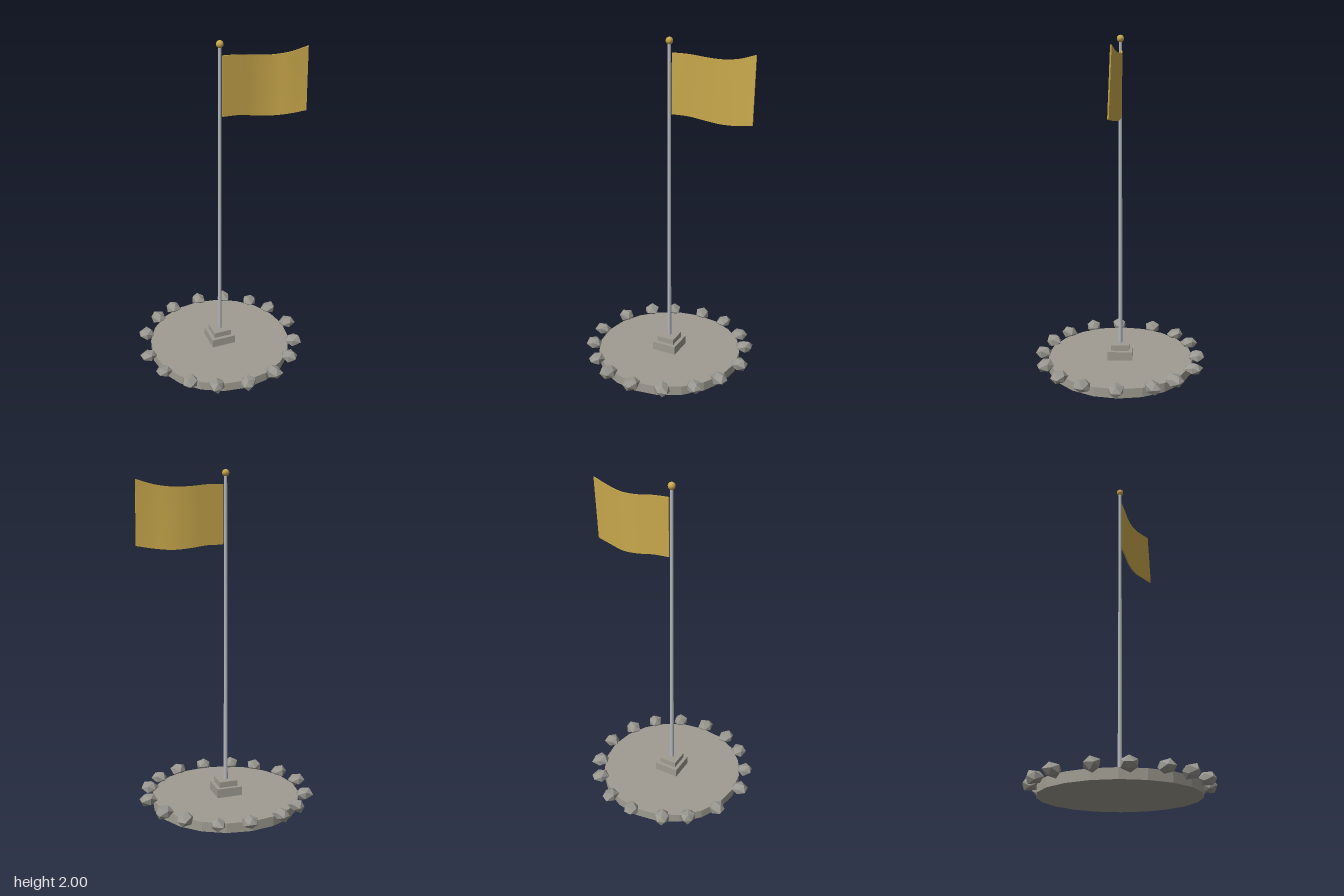
import * as THREE from 'three';

const mat = (name, color, opts = {}) => {
  const m = new THREE.MeshStandardMaterial({ color, ...opts });
  m.name = name;
  return m;
};

// Small seeded generator for the rock irregularities
function seeded(seed) {
  return () => {
    seed = (seed * 16807) % 2147483647;
    return seed / 2147483647;
  };
}

// Faceted boulder: an icosahedron whose twelve corners are pushed in and out
function rockGeometry(rand) {
  const geo = new THREE.IcosahedronGeometry(1, 0);
  const pos = geo.attributes.position;
  const scales = new Map();
  const v = new THREE.Vector3();
  for (let i = 0; i < pos.count; i++) {
    v.fromBufferAttribute(pos, i);
    const key = v.toArray().map((n) => Math.round(n * 100)).join();
    if (!scales.has(key)) scales.set(key, 0.84 + rand() * 0.3);
    v.multiplyScalar(scales.get(key));
    pos.setXYZ(i, v.x, v.y, v.z);
  }
  geo.computeVertexNormals();
  return geo;
}

// Waving cloth: a thin box stretched between a top and a bottom edge curve
function flagGeometry() {
  const edge = (pts) => new THREE.CatmullRomCurve3(
    pts.map(([y, z], i) => new THREE.Vector3(0.016 + i * 0.1006, y, z)), false, 'catmullrom');
  const top = edge([[1.916, -0.006], [1.912, -0.012], [1.9, -0.018], [1.896, -0.01], [1.908, 0.012], [1.936, 0.026]]);
  const bottom = edge([[1.573, -0.003], [1.57, -0.01], [1.555, -0.014], [1.546, -0.004], [1.553, 0.022], [1.568, 0.042]]);
  const geo = new THREE.BoxGeometry(1, 1, 0.008, 20, 8, 1);
  const pos = geo.attributes.position;
  for (let i = 0; i < pos.count; i++) {
    const u = THREE.MathUtils.clamp(pos.getX(i) + 0.5, 0, 1);
    const p = bottom.getPoint(u).lerp(top.getPoint(u), pos.getY(i) + 0.5);
    pos.setXYZ(i, p.x, p.y, p.z + pos.getZ(i));
  }
  geo.computeVertexNormals();
  return geo;
}

export function createModel() {
  const model = new THREE.Group();
  model.name = 'flagpole';

  const stone = mat('stone', 0xa09c92, { flatShading: true });
  const rock = mat('rock', 0x999790, { flatShading: true });
  const metal = mat('metal', 0xb4b8bc);
  const gold = mat('gold', 0xc9a84c);

  const add = (name, geo, material, x, y, z, parent = model) => {
    const mesh = new THREE.Mesh(geo, material);
    mesh.name = name;
    mesh.position.set(x, y, z);
    parent.add(mesh);
    return mesh;
  };

  // Round ground slab and stepped plinth
  const zc = -0.004;
  add('groundDisc', new THREE.CylinderGeometry(0.45, 0.45, 0.057, 20), stone, 0, 0.0285, zc);
  add('plinthLower', new THREE.BoxGeometry(0.155, 0.056, 0.155), stone, 0, 0.083, zc);
  add('plinthUpper', new THREE.BoxGeometry(0.112, 0.036, 0.112), stone, 0, 0.128, zc);

  // Tapered pole with a ball finial
  add('pole', new THREE.CylinderGeometry(0.009, 0.013, 1.825, 12), metal, 0, 1.0575, zc);
  add('finial', new THREE.SphereGeometry(0.021, 16, 12), gold, 0, 1.979, zc);

  // Flag flying to the left of the pole
  add('flag', flagGeometry(), gold, 0, 0, 0);

  // Ring of border rocks, given as x, z
  const spots = [
    [0.482, 0.007], [0.435, 0.195], [0.337, 0.34], [0.18, 0.44],
    [-0.009, 0.477], [-0.187, 0.435], [-0.325, 0.347], [-0.44, 0.195],
    [-0.484, 0.015], [-0.437, -0.207], [-0.317, -0.36], [-0.184, -0.445],
    [0.02, -0.48], [0.198, -0.445], [0.355, -0.33], [0.44, -0.2],
  ];
  const rand = seeded(4711);
  const border = new THREE.Group();
  border.name = 'rockBorder';
  model.add(border);
  for (const [x, z] of spots) {
    const boulder = add('rock', rockGeometry(rand), rock, x, 0.068, z, border);
    boulder.scale.set(0.056, 0.039, 0.05);
    boulder.rotation.y = -Math.atan2(z, x) + (rand() - 0.5) * 0.5;
  }
  return model;
}
